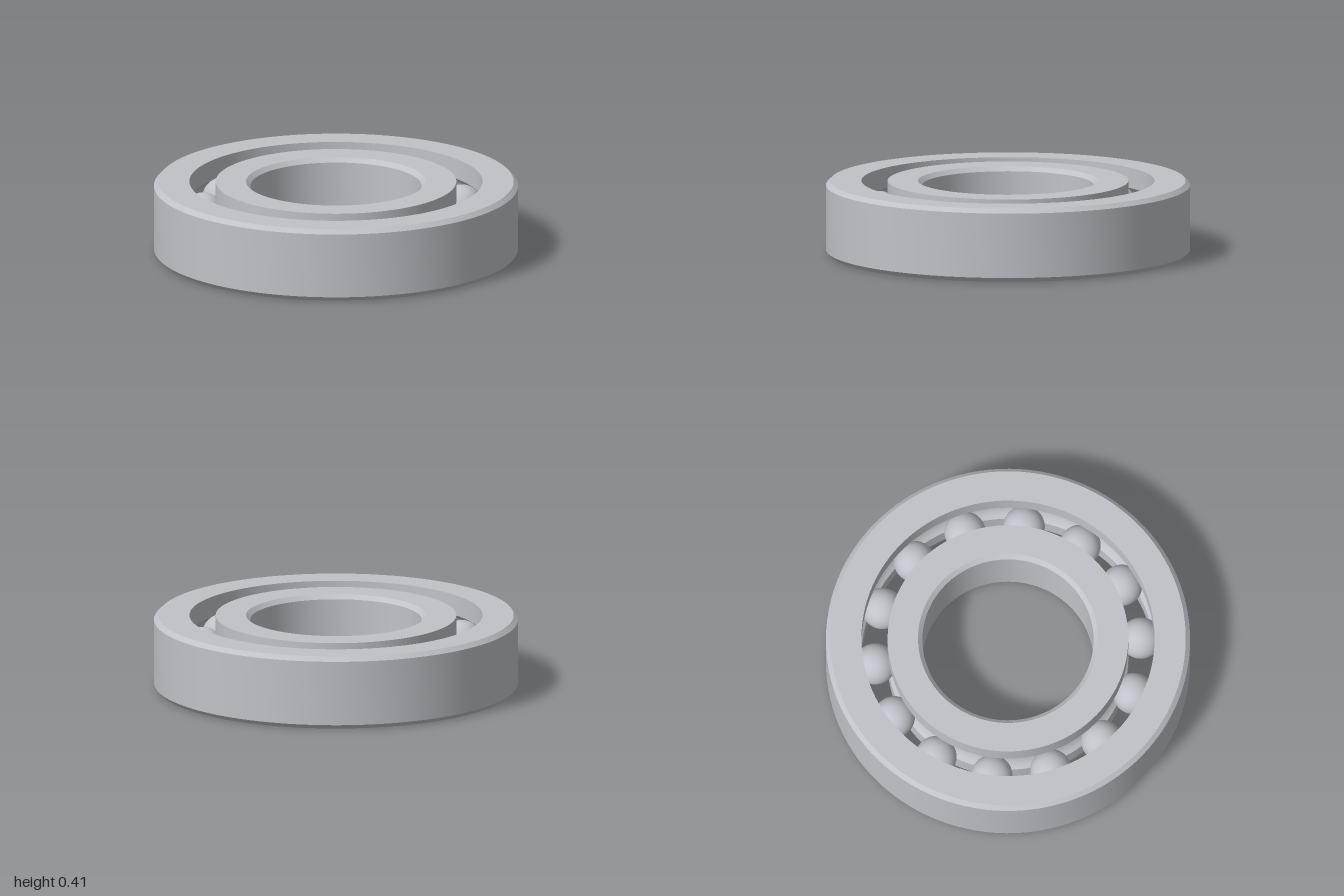
import * as THREE from 'three';
import { toCreasedNormals } from 'three/addons/utils/BufferGeometryUtils.js';

const HEIGHT = 0.406, MID = HEIGHT / 2, CHAMFER = 0.024;
const PITCH = 0.733, BALL_RADIUS = 0.114, BALLS = 14;

// Arc of the ball groove, from angle a to angle b around the ball centre
function groove(a, b, steps = 14) {
  const r = BALL_RADIUS + 0.001;
  return Array.from({ length: steps + 1 }, (_, i) => {
    const t = a + (b - a) * i / steps;
    return [PITCH + r * Math.cos(t), MID + r * Math.sin(t)];
  });
}

// Angle at which the groove meets a ring shoulder of the given radius
const grooveAngle = (radius) => Math.acos(Math.abs(radius - PITCH) / (BALL_RADIUS + 0.001));

// Closed counter-clockwise profile turned about the y axis, with sharp edges kept
function turnedRing(name, profile, material) {
  const points = [...profile, profile[0]].map(([r, y]) => new THREE.Vector2(r, y));
  const mesh = new THREE.Mesh(toCreasedNormals(new THREE.LatheGeometry(points, 112), 0.5), material);
  mesh.name = name;
  return mesh;
}

export function createModel() {
  const model = new THREE.Group();
  model.name = 'ballBearing';
  const steel = new THREE.MeshStandardMaterial({ color: 0xbfc3c9 });
  steel.name = 'steel';

  // Outer ring: chamfered rim, grooved inner wall
  const outerShoulder = 0.805, ao = grooveAngle(outerShoulder);
  model.add(turnedRing('outerRing', [
    [1 - CHAMFER, 0], [1, CHAMFER], [1, HEIGHT - CHAMFER], [1 - CHAMFER, HEIGHT],
    [outerShoulder, HEIGHT], ...groove(ao, -ao), [outerShoulder, 0],
  ], steel));

  // Inner ring: grooved outer wall, chamfered bore
  const innerShoulder = 0.661, bore = 0.47, ai = grooveAngle(innerShoulder);
  model.add(turnedRing('innerRing', [
    [innerShoulder, 0], ...groove(Math.PI + ai, Math.PI - ai), [innerShoulder, HEIGHT],
    [bore + CHAMFER, HEIGHT], [bore, HEIGHT - CHAMFER], [bore, CHAMFER], [bore + CHAMFER, 0],
  ], steel));

  // Balls evenly spaced in the raceway
  const balls = new THREE.Group();
  balls.name = 'balls';
  const ballGeometry = new THREE.SphereGeometry(BALL_RADIUS, 32, 20);
  for (let i = 0; i < BALLS; i++) {
    const angle = i / BALLS * Math.PI * 2;
    const ball = new THREE.Mesh(ballGeometry, steel);
    ball.name = 'ball';
    ball.position.set(PITCH * Math.cos(angle), MID, PITCH * Math.sin(angle));
    balls.add(ball);
  }
  model.add(balls);
  return model;
}
